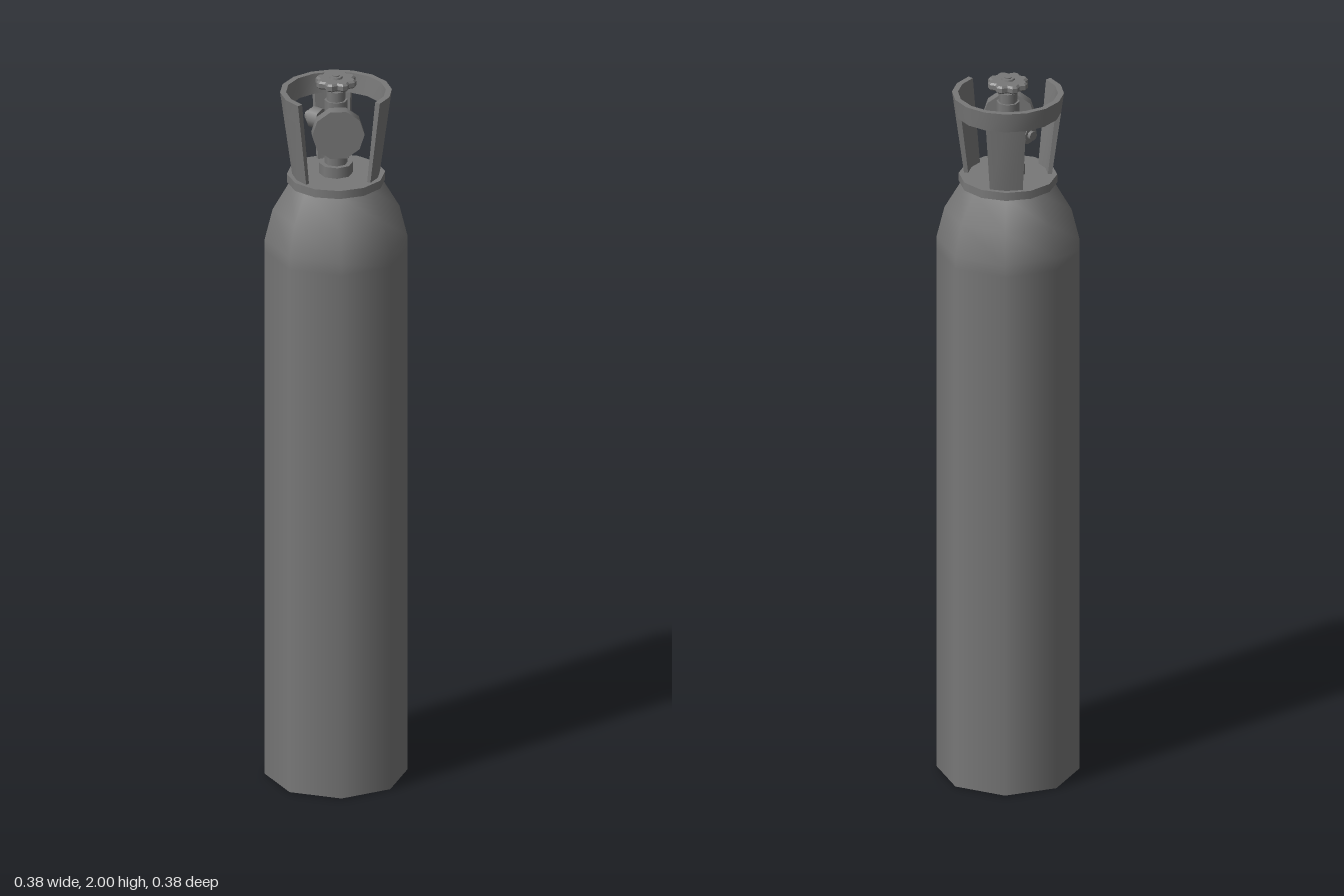
import * as THREE from 'three';
import { toCreasedNormals } from 'three/addons/utils/BufferGeometryUtils.js';

const steel = new THREE.MeshStandardMaterial({ color: 0x787878 });
steel.name = 'grey steel';

function add(parent, name, geometry, x = 0, y = 0, z = 0) {
  const mesh = new THREE.Mesh(geometry, steel);
  mesh.name = name;
  mesh.position.set(x, y, z);
  parent.add(mesh);
  return mesh;
}

// Upright cylinder between two heights
function drum(parent, name, r0, r1, y0, y1, sides) {
  const g = new THREE.CylinderGeometry(r1, r0, y1 - y0, sides);
  return add(parent, name, g, 0, (y0 + y1) / 2, 0);
}

// Curved, flaring piece of the guard; angles are in degrees from the back
function guardPiece(angles, y0, y1) {
  const pos = [];
  const flare = y => (y - 1.72) / 0.235;
  const point = (deg, y, outer) => {
    const a = THREE.MathUtils.degToRad(deg);
    const r = outer ? 0.117 + 0.032 * flare(y) : 0.106 + 0.027 * flare(y);
    return [r * Math.sin(a), y, -r * Math.cos(a)];
  };
  const quad = (a, b, c, d) => pos.push(...a, ...b, ...c, ...a, ...c, ...d);
  for (let i = 0; i < angles.length - 1; i++) {
    const o = [], n = [];
    for (const a of [angles[i], angles[i + 1]]) {
      o.push(point(a, y0, true), point(a, y1, true));
      n.push(point(a, y0, false), point(a, y1, false));
    }
    quad(o[2], o[0], o[1], o[3]);
    quad(n[0], n[2], n[3], n[1]);
    quad(n[1], n[3], o[3], o[1]);
    quad(o[0], o[2], n[2], n[0]);
    if (i === 0) quad(o[0], n[0], n[1], o[1]);
    if (i === angles.length - 2) quad(n[2], o[2], o[3], n[3]);
  }
  const g = new THREE.BufferGeometry();
  g.setAttribute('position', new THREE.Float32BufferAttribute(pos, 3));
  return toCreasedNormals(g, 0.6);
}

export function createModel() {
  const model = new THREE.Group();
  model.name = 'gasCylinder';

  // Eight-sided tank with a rounded shoulder
  const profile = [[0.19, 0], [0.19, 1.5], [0.19, 1.535], [0.169, 1.62], [0.122, 1.7]]
    .map(([r, y]) => new THREE.Vector2(r, y));
  add(model, 'tank', new THREE.LatheGeometry(profile, 8));
  const base = new THREE.CircleGeometry(0.19, 8);
  base.rotateX(Math.PI / 2);
  add(model, 'tankBase', base);

  // Plate on the neck
  drum(model, 'neckPlate', 0.131, 0.131, 1.697, 1.72, 12);

  // Guard: open ring on three legs
  const guard = new THREE.Group();
  guard.name = 'guard';
  model.add(guard);
  add(guard, 'guardRing', guardPiece(
    [-133, -112, -90, -68, -45, -22, 0, 22, 45, 68, 90, 112, 133], 1.9, 1.955));
  add(guard, 'backLeg', guardPiece([-22, 0, 22], 1.715, 1.9));
  add(guard, 'leftLeg', guardPiece([90, 112, 133], 1.715, 1.9));
  add(guard, 'rightLeg', guardPiece([-133, -112, -90], 1.715, 1.9));

  // Valve column
  const valve = new THREE.Group();
  valve.name = 'valve';
  model.add(valve);
  drum(valve, 'valveFoot', 0.045, 0.045, 1.72, 1.75, 8);
  drum(valve, 'valveStem', 0.031, 0.031, 1.75, 1.93, 8);
  drum(valve, 'valveNeck', 0.025, 0.025, 1.93, 1.957, 8);
  drum(valve, 'wheelShaft', 0.013, 0.013, 1.957, 1.975, 8);

  // Lobed hand wheel
  const outline = [];
  for (let i = 0; i < 24; i++) {
    const a = (i / 24) * Math.PI * 2;
    const r = i % 3 === 0 ? 0.046 : 0.055;
    outline.push(new THREE.Vector2(r * Math.cos(a), r * Math.sin(a)));
  }
  const wheel = new THREE.ExtrudeGeometry(new THREE.Shape(outline), {
    depth: 0.012, bevelEnabled: true, bevelThickness: 0.005,
    bevelSize: 0.005, bevelOffset: -0.005, bevelSegments: 1,
  });
  wheel.rotateX(-Math.PI / 2);
  add(valve, 'handWheel', wheel, 0, 1.975, 0);
  drum(valve, 'wheelHub', 0.019, 0.017, 1.99, 1.997, 8);
  drum(valve, 'wheelNut', 0.009, 0.009, 1.996, 2.0, 8);

  // Fittings are stacked along +y, then swung to point outward
  const fitting = (name, yaw, rings) => {
    const turn = new THREE.Group();
    turn.name = name;
    turn.position.y = 1.86;
    turn.rotation.y = yaw;
    const arm = new THREE.Group();
    arm.name = name + 'Parts';
    arm.rotation.x = Math.PI / 2;
    turn.add(arm);
    valve.add(turn);
    for (const [part, r, from, to, sides] of rings) {
      const mesh = drum(arm, part, r, r, from, to, sides);
      if (sides === 10) mesh.rotation.y = Math.PI / 2;
    }
  };
  fitting('gauge', 0, [
    ['gaugePipe', 0.02, 0, 0.051, 8],
    ['gaugeDial', 0.07, 0.05, 0.083, 10],
  ]);
  fitting('outlet', -Math.PI * 0.75, [
    ['outletPipe', 0.016, 0, 0.05, 8],
    ['outletNut', 0.03, 0.048, 0.079, 8],
    ['outletCollar', 0.021, 0.079, 0.09, 8],
    ['outletTip', 0.013, 0.09, 0.1, 8],
  ]);

  return model;
}
